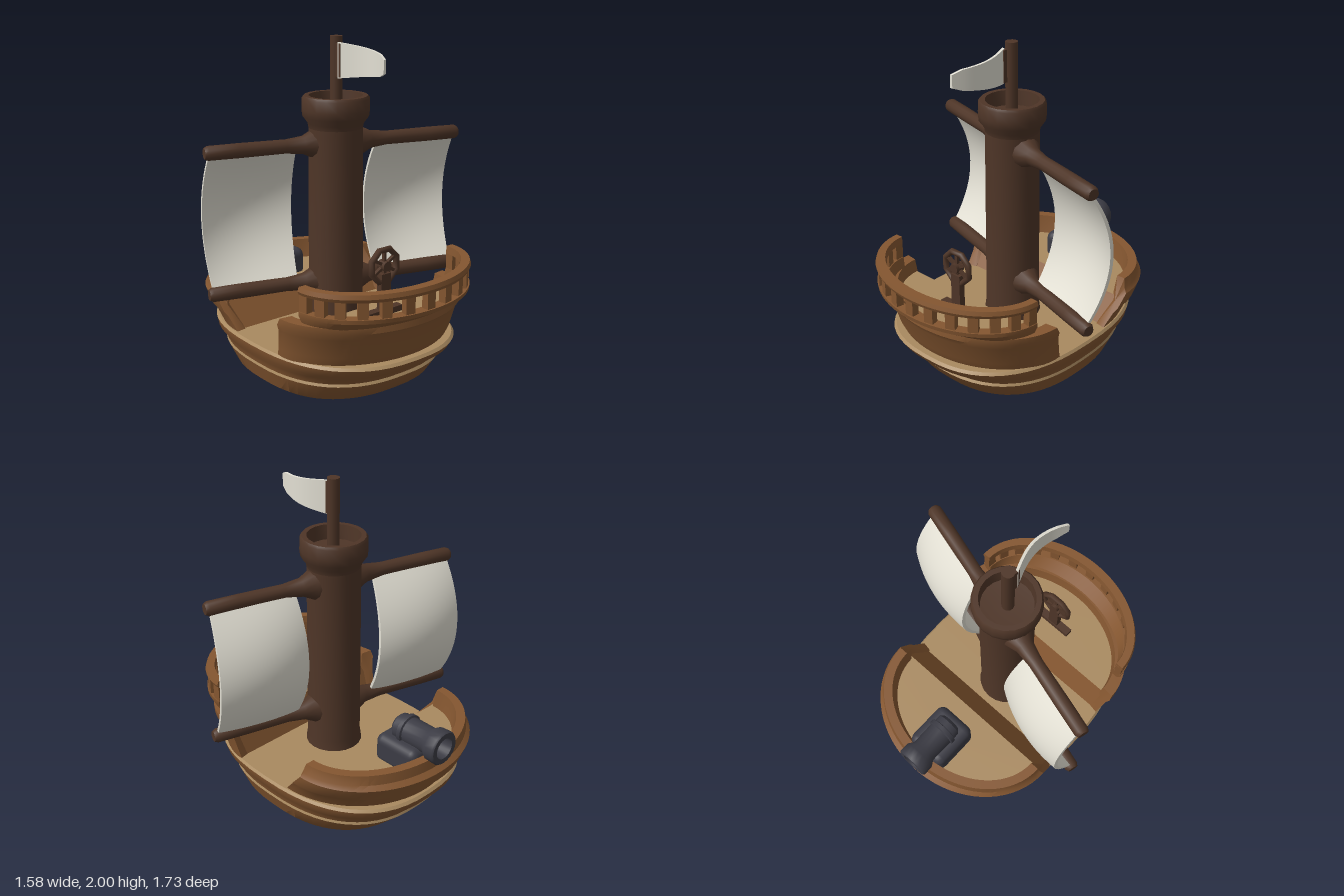
import * as THREE from 'three';
import { toCreasedNormals } from 'three/addons/utils/BufferGeometryUtils.js';
import { RoundedBoxGeometry } from 'three/addons/geometries/RoundedBoxGeometry.js';

const CX = -0.04; // hull centre line
const V = (x, y, z) => new THREE.Vector3(x, y, z);
const mean = (pts) => pts.reduce((s, p) => s.add(p), V(0, 0, 0)).divideScalar(pts.length);

function colour(name, hex) {
  const m = new THREE.MeshStandardMaterial({ color: hex });
  m.name = name;
  return m;
}

// Surface through rows of points; rows run upwards, points clockwise from above
function skin(rows, closed, crease = 0.6) {
  const pos = [];
  const tri = (a, b, c) => {
    if (a.distanceTo(b) > 1e-6 && b.distanceTo(c) > 1e-6 && a.distanceTo(c) > 1e-6)
      for (const p of [a, b, c]) pos.push(p.x, p.y, p.z);
  };
  const n = rows[0].length;
  for (let j = 0; j + 1 < rows.length; j++) {
    for (let i = 0; i < (closed ? n : n - 1); i++) {
      const k = (i + 1) % n;
      tri(rows[j][i], rows[j + 1][i], rows[j][k]);
      tri(rows[j][k], rows[j + 1][i], rows[j + 1][k]);
    }
  }
  const g = new THREE.BufferGeometry();
  g.setAttribute('position', new THREE.Float32BufferAttribute(pos, 3));
  return toCreasedNormals(g, crease);
}

// Full hull outline: half width, height, front z, back z
function ring([a, y, zf, zb]) {
  const pw = (v) => Math.sign(v) * Math.abs(v) ** (2 / 2.5);
  return Array.from({ length: 56 }, (_, i) => {
    const t = (i / 56) * Math.PI * 2, s = Math.sin(t);
    return V(CX + a * pw(Math.cos(t)), y, (s > 0 ? zf : -zb) * pw(s));
  });
}

// Half outline: half width, height, z of the open ends, z of the tip
function arc([a, y, z0, z1]) {
  return Array.from({ length: 37 }, (_, i) => {
    const t = (z1 > z0 ? i : 36 - i) / 36 * Math.PI;
    return V(CX + a * Math.cos(t), y, z0 + (z1 - z0) * Math.sin(t));
  });
}

// Closed wall profile swept along the half outline, with end caps
function wall(profile) {
  const rows = profile.map(arc);
  const start = mean(rows.map((r) => r[0])), end = mean(rows.map((r) => r[36]));
  const full = rows.map((r) => [start, ...r, end]);
  return skin([...full, full[0]], false);
}

const cap = (row) => row.map(() => mean(row));
const lathe = (pts, sides) =>
  toCreasedNormals(new THREE.LatheGeometry(pts.map((p) => new THREE.Vector2(...p)), sides), 0.7);

export function createModel() {
  const model = new THREE.Group();
  model.name = 'sailingShip';
  const wood = colour('hull brown', 0x845630);
  const plank = colour('deck tan', 0xa98a60);
  const dark = colour('dark timber', 0x4e3527);
  const cloth = colour('sail white', 0xe2dfd3);
  const iron = colour('gun metal', 0x3c3c45);
  const add = (name, geo, mat, x = 0, y = 0, z = 0, parent = model) => {
    const m = new THREE.Mesh(geo, mat);
    m.name = name;
    m.position.set(x, y, z);
    parent.add(m);
    return m;
  };

  // Lower hull with a light ledge and main deck
  const low = [[0.5, 0, 0.52, -0.54], [0.535, 0.025, 0.57, -0.6], [0.57, 0.125, 0.64, -0.7]].map(ring);
  const high = [[0.565, 0.14, 0.63, -0.695], [0.575, 0.18, 0.66, -0.72], [0.605, 0.22, 0.73, -0.77],
    [0.612, 0.265, 0.76, -0.785]].map(ring);
  const rim = ring([0.6, 0.28, 0.745, -0.77]);
  add('lowerHull', skin([cap(low[0]), ...low], true), wood);
  add('hullLedge', skin([low[2], high[0]], true), plank);
  add('upperHull', skin(high, true), wood);
  add('mainDeck', skin([high[3], rim, cap(rim)], true), plank);

  // Raised decks at both ends
  for (const [name, foot, top] of [
    ['steering', [0.56, 0.27, 0.24, 0.69], [0.56, 0.45, 0.32, 0.72]],
    ['gun', [0.55, 0.27, -0.19, -0.72], [0.55, 0.43, -0.33, -0.76]],
  ]) {
    const a = arc(foot), b = arc(top);
    add(name + 'DeckStep', skin([a, b], true), wood);
    add(name + 'Deck', skin([b, cap(b)], true), plank);
  }

  // Bulwarks around the raised decks
  add('steeringBulwark', wall([[0.585, 0.27, 0.23, 0.7], [0.592, 0.33, 0.25, 0.73], [0.612, 0.45, 0.28, 0.76],
    [0.628, 0.49, 0.29, 0.785], [0.625, 0.53, 0.31, 0.78], [0.55, 0.53, 0.32, 0.72], [0.53, 0.4, 0.31, 0.7],
    [0.53, 0.27, 0.24, 0.66]]), wood);
  add('gunBulwark', wall([[0.58, 0.27, -0.17, -0.75], [0.6, 0.36, -0.25, -0.78], [0.615, 0.385, -0.27, -0.835],
    [0.622, 0.465, -0.34, -0.862], [0.602, 0.49, -0.35, -0.83], [0.59, 0.55, -0.36, -0.82],
    [0.535, 0.55, -0.36, -0.765], [0.52, 0.4, -0.34, -0.74], [0.52, 0.27, -0.18, -0.7]]), wood);

  // Pierced railing
  add('railBase', wall([[0.56, 0.52, 0.43, 0.77], [0.585, 0.575, 0.43, 0.86], [0.585, 0.6, 0.43, 0.865],
    [0.53, 0.6, 0.43, 0.8], [0.52, 0.52, 0.43, 0.72]]), wood);
  add('railTop', wall([[0.58, 0.695, 0.43, 0.86], [0.59, 0.715, 0.43, 0.868], [0.582, 0.74, 0.43, 0.86],
    [0.535, 0.74, 0.43, 0.805], [0.53, 0.695, 0.43, 0.8]]), wood);
  for (let i = 0; i < 13; i++) {
    const t = 0.07 + (i / 12) * (Math.PI - 0.14);
    const c = Math.cos(t), s = Math.sin(t);
    const post = add('railPost', new THREE.BoxGeometry(0.058, 0.13, 0.045), wood,
      CX + 0.557 * c, 0.648, 0.43 + 0.402 * s);
    post.rotation.y = Math.atan2(c / 0.557, s / 0.402);
  }

  // Mast, lookout and flag pole
  const mx = -0.03, mz = 0.015;
  add('mast', lathe([[0.175, 0.27], [0.165, 0.34], [0.16, 1.5]], 20), dark, mx, 0, mz);
  add('lookout', lathe([[0.158, 1.46], [0.165, 1.5], [0.195, 1.54], [0.2, 1.58], [0.198, 1.645], [0.188, 1.66],
    [0.158, 1.66], [0.15, 1.57], [0, 1.56]], 20), dark, mx, 0, mz);
  add('flagPole', new THREE.CylinderGeometry(0.037, 0.037, 0.45, 12), dark, mx, 1.775, mz + 0.005);

  // Yards and sails, turned about the mast
  const rig = new THREE.Group();
  rig.name = 'rigging';
  rig.position.set(-0.02, 0, 0.01);
  rig.rotation.y = -0.28;
  model.add(rig);
  const half = [[0, 0.8], [0.032, 0.8], [0.043, 0.78], [0.044, 0.6], [0.042, 0.32], [0.055, 0.21], [0.09, 0.14]];
  const yardPts = [...half.map(([r, u]) => [r, -u]), ...half.slice().reverse()];
  for (const y of [1.38, 0.54])
    add('yard', lathe(yardPts, 12).rotateZ(-Math.PI / 2), dark, 0, y, 0, rig);
  for (const side of [-1, 1]) {
    const g = new THREE.BoxGeometry(0.52, 0.82, 0.022, 14, 18, 1);
    const p = g.attributes.position;
    for (let i = 0; i < p.count; i++) {
      const u = p.getX(i) / 0.26, v = p.getY(i) / 0.41;
      const belly = 1 - v * v;
      p.setX(i, p.getX(i) + u * 0.015 * belly);
      p.setZ(i, p.getZ(i) - 0.145 * belly - 0.045 * (1 - u * u) * (0.35 + 0.65 * belly));
    }
    g.computeVertexNormals();
    add('sail', g, cloth, side * 0.515, 0.96, 0, rig);
  }

  // Waving flag, tapering towards its tip
  const flag = new THREE.BoxGeometry(0.016, 1, 0.4, 1, 4, 20);
  const fp = flag.attributes.position;
  for (let i = 0; i < fp.count; i++) {
    const k = fp.getZ(i) / 0.4 + 0.5;
    const h = 0.205 - 0.1 * k - 0.03 * Math.max(0, k - 0.85) / 0.15;
    fp.setXYZ(i, fp.getX(i) - 0.05 + 0.055 * Math.sin(Math.PI * k) - 0.005 * k,
      1.865 + 0.005 * k + fp.getY(i) * h, 0.065 + 0.4 * k);
  }
  flag.computeVertexNormals();
  add('flag', flag, cloth);
  add('flagBinding', new THREE.BoxGeometry(0.026, 0.19, 0.045), dark, -0.042, 1.865, 0.06);

  // Steering wheel on its stand
  const wheel = new THREE.Group();
  wheel.name = 'steeringWheel';
  wheel.position.set(-0.045, 0.745, 0.47);
  model.add(wheel);
  add('wheelRim', new THREE.TorusGeometry(0.1, 0.019, 8, 8).rotateZ(Math.PI / 8), dark, 0, 0, 0, wheel);
  add('wheelHub', new THREE.CylinderGeometry(0.03, 0.03, 0.06, 10).rotateX(Math.PI / 2), dark, 0, 0, 0, wheel);
  for (let i = 0; i < 3; i++) {
    const spoke = add('wheelSpoke', new THREE.BoxGeometry(0.2, 0.018, 0.02), dark, 0, 0, 0, wheel);
    spoke.rotation.z = Math.PI / 6 + (i * Math.PI) / 3;
  }
  add('wheelStand', new THREE.BoxGeometry(0.07, 0.26, 0.04), dark, -0.045, 0.57, 0.47);
  add('wheelFoot', new THREE.BoxGeometry(0.25, 0.04, 0.05), dark, -0.045, 0.465, 0.47);

  // Cannon and carriage
  add('cannonBarrel', lathe([[0, 0.515], [0.06, 0.515], [0.08, 0.535], [0.082, 0.575], [0.094, 0.58], [0.094, 0.605],
    [0.082, 0.61], [0.08, 0.76], [0.103, 0.795], [0.105, 0.855], [0.098, 0.866], [0.066, 0.866], [0.06, 0.74],
    [0, 0.74]], 20).rotateX(-Math.PI / 2), iron, CX - 0.005, 0.618, 0);
  add('cannonCarriage', new RoundedBoxGeometry(0.27, 0.19, 0.31, 3, 0.05), iron, CX, 0.49, -0.605);
  return model;
}
